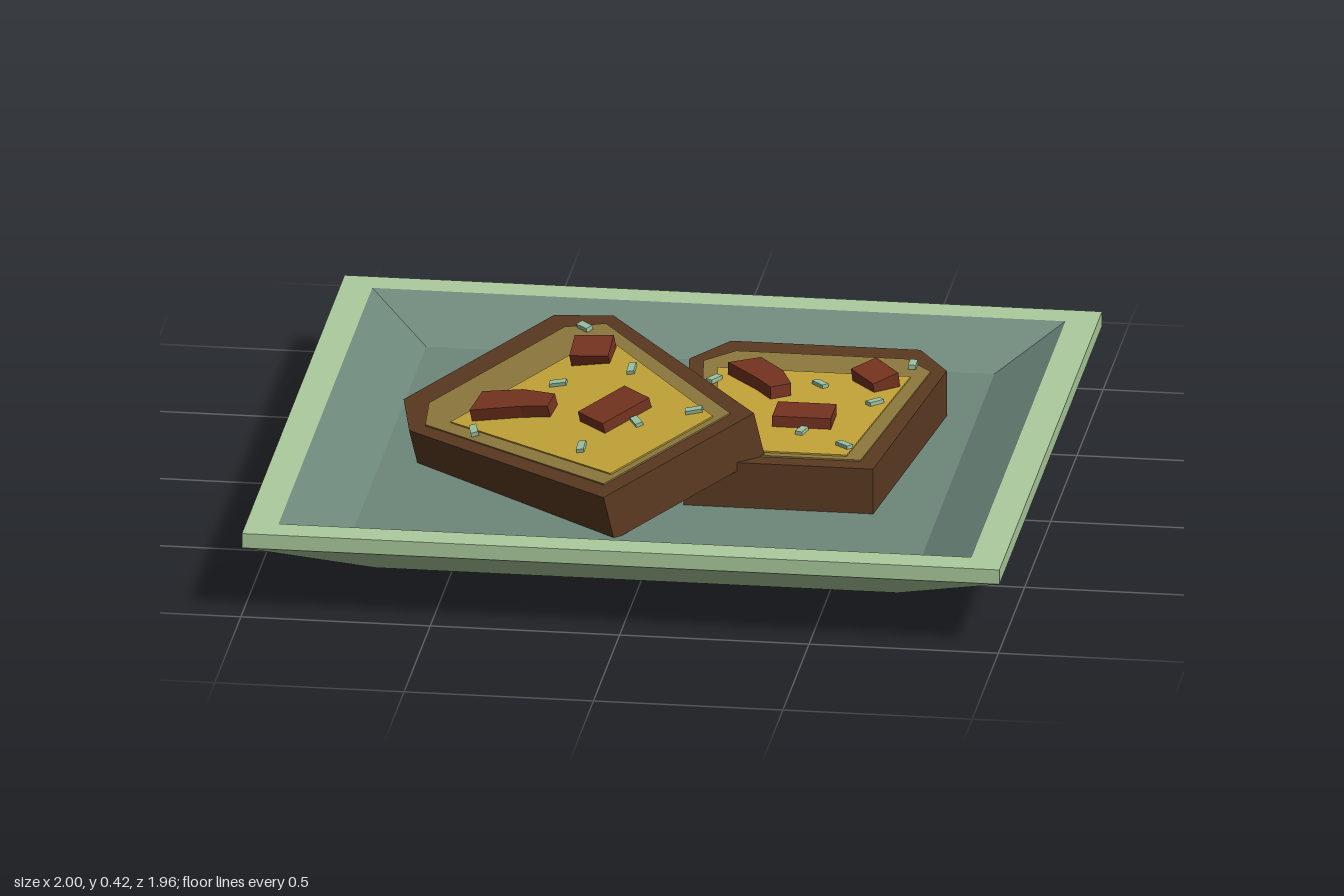
import * as THREE from 'three';

const mat = (name, color) => {
  const m = new THREE.MeshStandardMaterial({ color });
  m.name = name;
  return m;
};

// Skin between rectangular sections [halfX, y, halfZ, shiftZ], listed from the underside round to the inside
function rectLoft(sections) {
  const corners = ([hx, y, hz, s = 0]) =>
    [[-hx, y, hz + s], [hx, y, hz + s], [hx, y, -hz + s], [-hx, y, -hz + s]];
  const pos = [];
  for (let k = 0; k < sections.length - 1; k++) {
    const a = corners(sections[k]), b = corners(sections[k + 1]);
    for (let i = 0; i < 4; i++) {
      const j = (i + 1) % 4;
      if (sections[k][0] > 0) pos.push(...a[i], ...a[j], ...b[j]);
      if (sections[k + 1][0] > 0) pos.push(...a[i], ...b[j], ...b[i]);
      else if (sections[k][0] > 0) continue;
    }
  }
  const g = new THREE.BufferGeometry();
  g.setAttribute('position', new THREE.Float32BufferAttribute(pos, 3));
  g.computeVertexNormals();
  return g;
}

// Flat slab with an outline in x, z, rising from y0 to y1
function slab(points, y0, y1) {
  const shape = new THREE.Shape(points.map(([x, z]) => new THREE.Vector2(x, -z)));
  const g = new THREE.ExtrudeGeometry(shape, { depth: y1 - y0, bevelEnabled: false });
  g.rotateX(-Math.PI / 2);
  g.translate(0, y0, 0);
  return g;
}

// Mirrors the right half of an outline
const mirrored = half => [...half, ...half.map(([x, z]) => [-x, z]).reverse()];

export function createModel() {
  const model = new THREE.Group();
  const green = mat('plateGreen', 0xaccb9d);
  const teal = mat('plateTeal', 0x6e887b);
  const brown = mat('crustBrown', 0x5b3a22);
  const olive = mat('breadOlive', 0x8e793d);
  const yellow = mat('cheeseYellow', 0xc4a538);
  const red = mat('meatRed', 0x76331f);
  const mint = mat('herbMint', 0x9cc2a4);

  const add = (parent, name, geometry, material) => {
    const m = new THREE.Mesh(geometry, material);
    m.name = name;
    parent.add(m);
    return m;
  };

  // Square plate: shell, hollow and underside of the foot
  const plate = new THREE.Group();
  plate.name = 'plate';
  model.add(plate);
  add(plate, 'plateShell', rectLoft([
    [0.525, 0, 0.525, 0.005], [0.525, 0.035, 0.515], [0.69, 0.035, 0.68],
    [1, 0.185, 0.98], [1, 0.225, 0.98], [0.915, 0.225, 0.895],
  ]), green);
  add(plate, 'plateHollow', rectLoft([[0.915, 0.225, 0.895], [0.75, 0.13, 0.73], [0, 0.13, 0]]), teal);
  add(plate, 'footUnderside', rectLoft([[0, 0, 0, 0.005], [0.525, 0, 0.525, 0.005]]), teal);

  // The hollow's floor
  const floor = add(plate, 'plateFloor', new THREE.PlaneGeometry(1.5, 1.46), teal);
  floor.rotation.x = -Math.PI / 2;
  floor.position.y = 0.13;

  // One slice of topped toast, its origin in the middle of the top face
  function makeToast(name) {
    const toast = new THREE.Group();
    toast.name = name;
    add(toast, 'crust', slab(mirrored([[0.25, -0.4525], [0.34, -0.305], [0.25, 0.4525]]), -0.13, 0), brown);
    add(toast, 'bread', slab(mirrored([[0.225, -0.37], [0.3, -0.285], [0.21, 0.4]]), 0, 0.004), olive);
    add(toast, 'cheese', slab(mirrored([[0.255, -0.23], [0.17, 0.378]]), 0.004, 0.008), yellow);

    // Meat pieces
    const block = add(toast, 'meatBlock', new THREE.BoxGeometry(0.155, 0.035, 0.112), red);
    block.position.set(0.025, 0.02, 0.137);
    add(toast, 'bentMeat', slab([
      [-0.22, -0.18], [-0.14, -0.23], [-0.07, -0.14], [-0.035, -0.045], [-0.085, -0.01], [-0.13, -0.075],
    ], 0, 0.042), red);
    const chunk = add(toast, 'meatChunk', new THREE.BoxGeometry(0.105, 0.05, 0.08), red);
    chunk.position.set(0.172, 0.022, -0.162);
    chunk.rotation.set(0.2, -0.87, -0.1, 'YXZ');

    // Chopped herbs: x, z, turn in degrees
    const herbs = [
      [0.25, -0.31, 90], [-0.25, -0.13, 60], [0.03, -0.13, -45], [0.19, -0.015, 45],
      [-0.135, 0.2, 45], [0.03, 0.225, 75], [0.155, 0.315, -40],
    ];
    const herbShape = new THREE.BoxGeometry(0.045, 0.012, 0.02);
    for (const [x, z, turn] of herbs) {
      const herb = add(toast, 'herb', herbShape, mint);
      herb.position.set(x, 0.012, z);
      herb.rotation.y = THREE.MathUtils.degToRad(turn);
    }
    model.add(toast);
    return toast;
  }

  // One slice lies flat, the other leans on it
  makeToast('flatToast').position.set(0.33, 0.255, -0.0975);
  const leaning = makeToast('leaningToast');
  leaning.position.set(-0.225, 0.315, 0.152);
  leaning.rotation.set(0, 0.753, 0.267, 'YXZ');
  return model;
}
